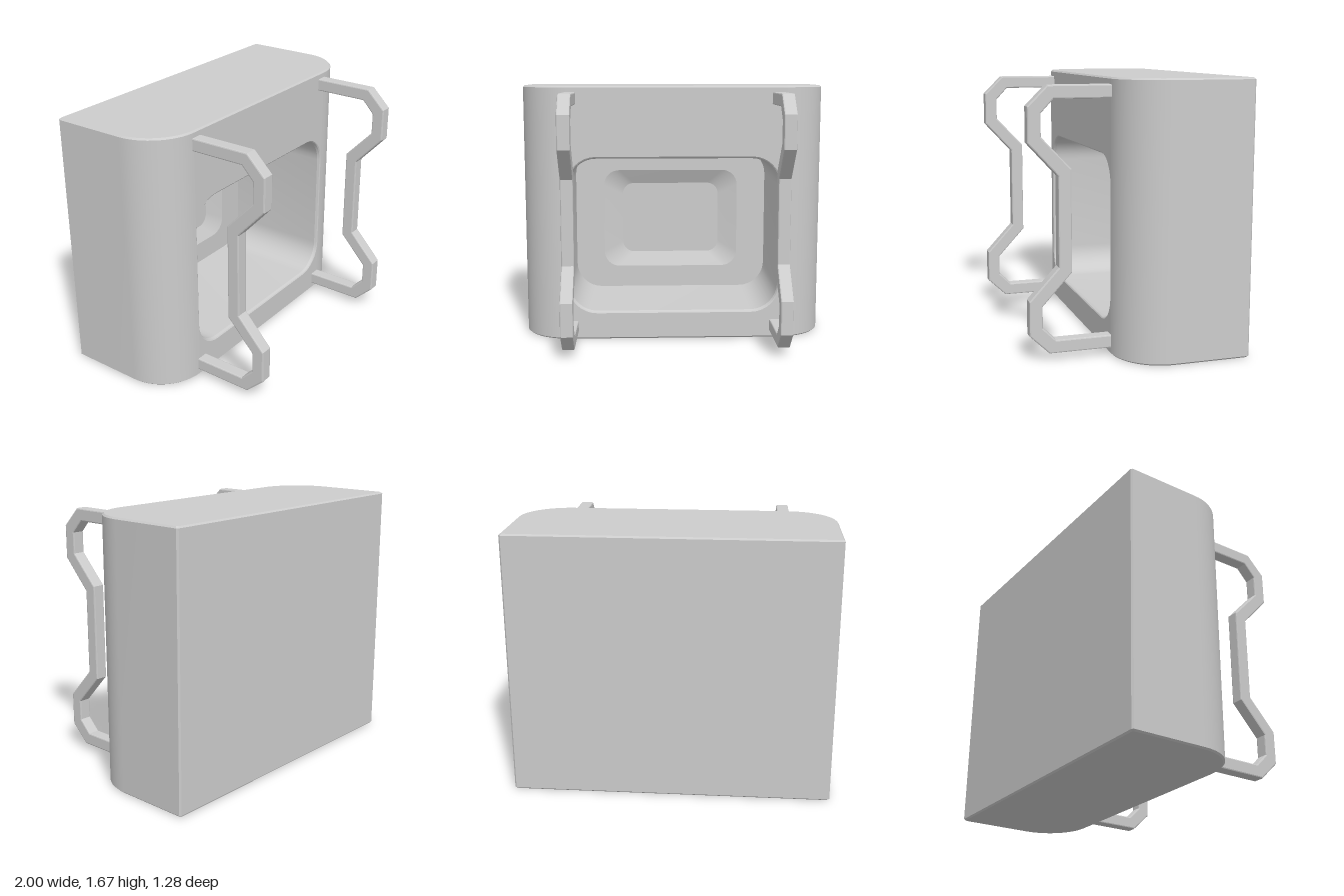
import * as THREE from 'three';
import { toCreasedNormals } from 'three/addons/utils/BufferGeometryUtils.js';

const BACK = -0.64, FRONT = 0.14, HEIGHT = 1.67, BEVEL = 0.01;
const CORNER = 0.3, MID_Y = 0.695;

// Skin between successive rings of equal point count
function loft(rings, closed = true) {
  const pos = [];
  for (let i = 0; i < rings.length - 1; i++) {
    const n = rings[i].length;
    for (let j = 0; j < (closed ? n : n - 1); j++) {
      const k = (j + 1) % n;
      const a = rings[i][j], b = rings[i][k], c = rings[i + 1][k], d = rings[i + 1][j];
      for (const p of [a, b, c, a, c, d]) pos.push(p.x, p.y, p.z);
    }
  }
  const g = new THREE.BufferGeometry();
  g.setAttribute('position', new THREE.Float32BufferAttribute(pos, 3));
  return toCreasedNormals(g, 0.3);
}

// Plan outline of the housing at a height, scaled towards its centre
function planRing(y, inset) {
  const cz = (BACK + FRONT) / 2, hz = (FRONT - BACK) / 2;
  const pts = [];
  const N = 16;
  for (let i = 0; i <= N; i++) {
    const a = Math.PI / 2 * (1 - i / N);
    pts.push([1 - CORNER + CORNER * Math.cos(a), FRONT - CORNER + CORNER * Math.sin(a)]);
  }
  pts.push([1, BACK + BEVEL], [1 - BEVEL, BACK]);
  const mirrored = pts.map(([x, z]) => [-x, z]).reverse();
  return [...pts, ...mirrored].map(([x, z]) =>
    new THREE.Vector3(x * (1 - inset), y, cz + (z - cz) * (1 - inset / hz)));
}

// Rounded rectangle facing +z, centred on the opening
function rectRing(hw, hh, r, z) {
  const pts = [];
  const N = 8;
  [[1, -1], [1, 1], [-1, 1], [-1, -1]].forEach(([sx, sy], q) => {
    for (let i = 0; i <= N; i++) {
      const a = Math.PI / 2 * (q - 1 + i / N);
      pts.push(new THREE.Vector3(sx * (hw - r) + r * Math.cos(a),
        MID_Y + sy * (hh - r) + r * Math.sin(a), z));
    }
  });
  return pts;
}

const centre = (ring, p) => ring.map(() => p);

export function createModel() {
  const group = new THREE.Group();
  const grey = new THREE.MeshStandardMaterial({ color: 0xcccccc });
  grey.name = 'light grey';
  const add = (name, geometry, parent = group) => {
    const m = new THREE.Mesh(geometry, grey);
    m.name = name;
    parent.add(m);
    return m;
  };

  // Housing: walls open at the flat front, bevelled top and bottom
  const housing = new THREE.Group();
  housing.name = 'housing';
  group.add(housing);
  const low = planRing(BEVEL, 0), high = planRing(HEIGHT - BEVEL, 0);
  const base = planRing(0, BEVEL), lid = planRing(HEIGHT, BEVEL);
  const cz = (BACK + FRONT) / 2;
  add('outerWalls', loft([low, high], false), housing);
  add('bottom', loft([centre(base, new THREE.Vector3(0, 0, cz)), base, low]), housing);
  add('top', loft([high, lid, centre(lid, new THREE.Vector3(0, HEIGHT, cz))]), housing);

  // Flat front panel with the rounded opening
  const rim = rectRing(0.7, 0.52, 0.19, FRONT);
  const panel = new THREE.Shape();
  const px = 1 - CORNER + 0.002;
  panel.moveTo(-px, BEVEL);
  panel.lineTo(px, BEVEL);
  panel.lineTo(px, HEIGHT - BEVEL);
  panel.lineTo(-px, HEIGHT - BEVEL);
  panel.holes.push(new THREE.Path(rim.map(p => new THREE.Vector2(p.x, p.y))));
  add('frontPanel', new THREE.ShapeGeometry(panel).translate(0, 0, FRONT), housing);

  // Cavity with a bevelled lip and a shallow sloped recess in its back wall
  const floorZ = -0.63, wallZ = -0.58;
  const floor = rectRing(0.35, 0.255, 0.08, floorZ);
  add('cavity', loft([
    rim,
    rectRing(0.693, 0.513, 0.183, FRONT - 0.005),
    rectRing(0.687, 0.507, 0.18, FRONT - 0.02),
    rectRing(0.687, 0.507, 0.18, wallZ),
    rectRing(0.485, 0.355, 0.11, wallZ),
    floor,
    centre(floor, new THREE.Vector3(0, MID_Y, floorZ)),
  ]), housing);

  // Bent bar handles, profile in (z, y)
  const profile = [
    [0.12, 1.63], [0.52, 1.63], [0.64, 1.51], [0.64, 1.3], [0.46, 1.105],
    [0.46, 0.565], [0.64, 0.37], [0.64, 0.16], [0.52, 0.045], [0.12, 0.045],
    [0.12, 0.125], [0.48, 0.125], [0.56, 0.205], [0.56, 0.335], [0.38, 0.53],
    [0.38, 1.145], [0.56, 1.335], [0.56, 1.47], [0.485, 1.55], [0.12, 1.55],
  ];
  const bar = new THREE.Shape(profile.map(([z, y]) => new THREE.Vector2(z, y)));
  const width = 0.08, edge = 0.008;
  const handle = new THREE.ExtrudeGeometry(bar, {
    depth: width - 2 * edge, bevelEnabled: true, bevelSegments: 2,
    bevelSize: edge, bevelThickness: edge, bevelOffset: -edge,
  });
  handle.translate(0, 0, edge - width / 2).rotateY(-Math.PI / 2);
  for (const [name, side] of [['leftHandle', 1], ['rightHandle', -1]]) {
    add(name, handle).position.x = side * 0.675;
  }
  return group;
}
